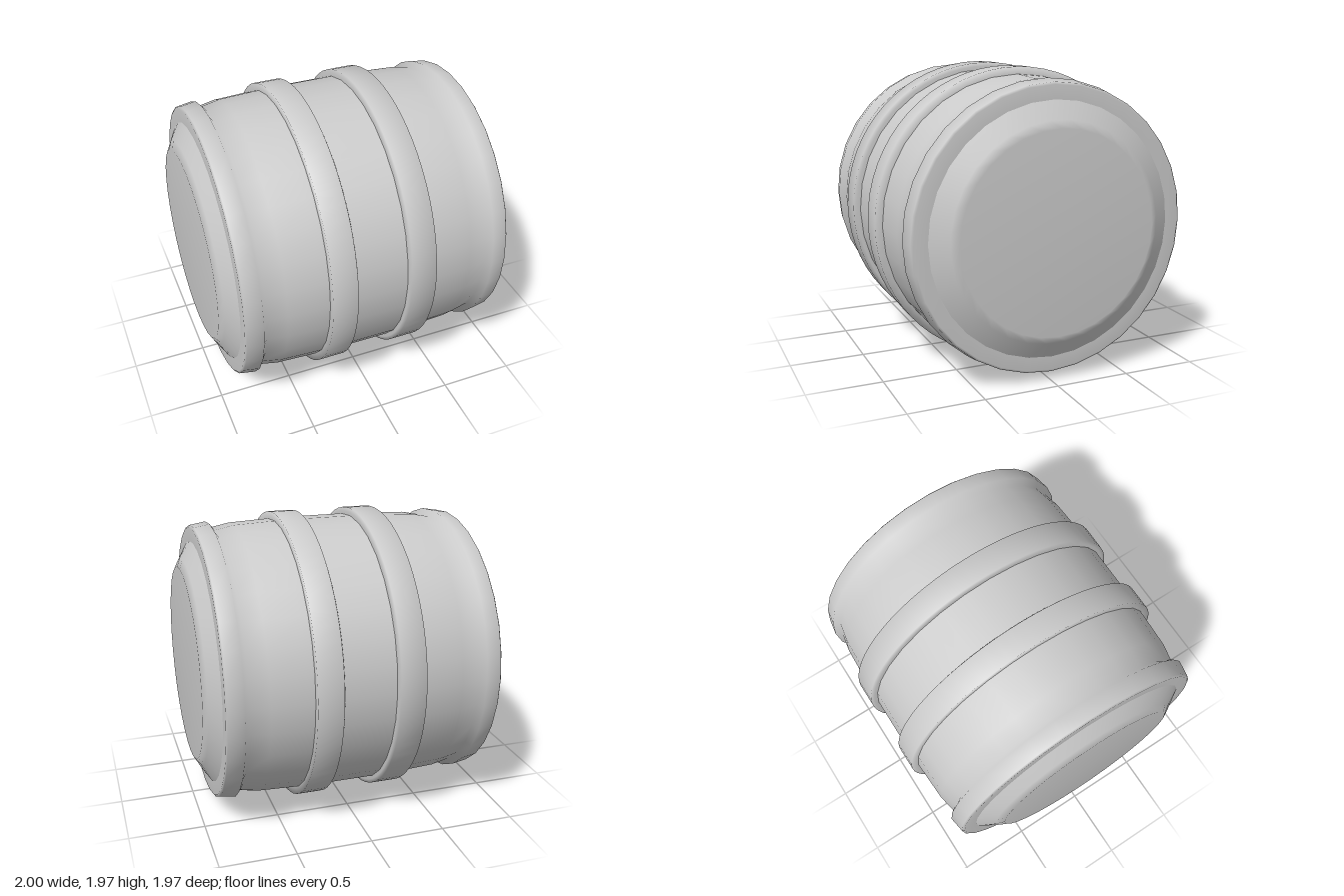
import * as THREE from 'three';
import { mergeVertices } from 'three/addons/utils/BufferGeometryUtils.js';

const RADIUS = 0.985;
const material = new THREE.MeshStandardMaterial({ color: 0xcccccc });

// Profiles are [position along x, radius], listed from -x to +x.
function turned(profile, segments) {
  const points = profile.map(([x, r]) => new THREE.Vector2(r, x));
  return new THREE.LatheGeometry(points, segments).rotateZ(-Math.PI / 2);
}

function mirrored(half) {
  return [...half.map(([x, r]) => [-x, r]).reverse(), ...half];
}

function add(group, name, geometry) {
  const mesh = new THREE.Mesh(geometry, material);
  mesh.name = name;
  group.add(mesh);
  return mesh;
}

// Domed end whose shoulder row is turned half a step, giving soft pleats.
function pleatedEnd(segments) {
  const profile = [[0.905, 0.82], [0.972, 0.705], [1, 0.655], [1, 0]];
  const geometry = turned(profile, segments);
  const position = geometry.attributes.position;
  const v = new THREE.Vector3();
  const axis = new THREE.Vector3(1, 0, 0);
  for (let i = 0; i < position.count; i++) {
    if (i % profile.length !== 1) continue;
    v.fromBufferAttribute(position, i).applyAxisAngle(axis, Math.PI / segments);
    position.setXYZ(i, v.x, v.y, v.z);
  }
  geometry.deleteAttribute('uv');
  geometry.deleteAttribute('normal');
  const welded = mergeVertices(geometry, 1e-4);
  welded.computeVertexNormals();
  return welded;
}

export function createModel() {
  const group = new THREE.Group();
  group.name = 'barrel';

  // Bulging body with a groove and a raised rim at each end
  const half = [
    [0.18, 0.94], [0.355, 0.936], [0.4, 0.935], [0.63, 0.925], [0.76, 0.9],
    [0.79, 0.942], [0.895, 0.925], [0.905, 0.91], [0.905, 0.82],
  ];
  add(group, 'body', turned(mirrored(half), 32));

  // Hoops around the middle, bevelled on their inner edge
  const hoop = [[0.175, 0.92], [0.175, 0.96], [0.185, RADIUS], [0.355, RADIUS], [0.355, 0.92]];
  const end = pleatedEnd(32);
  for (const [side, turn] of [['left', 0], ['right', Math.PI]]) {
    add(group, side + 'Hoop', turned(hoop, 64)).rotation.y = turn;
    add(group, side + 'End', end).rotation.y = turn;
  }

  group.position.y = RADIUS;
  const model = new THREE.Group();
  model.add(group);
  return model;
}
